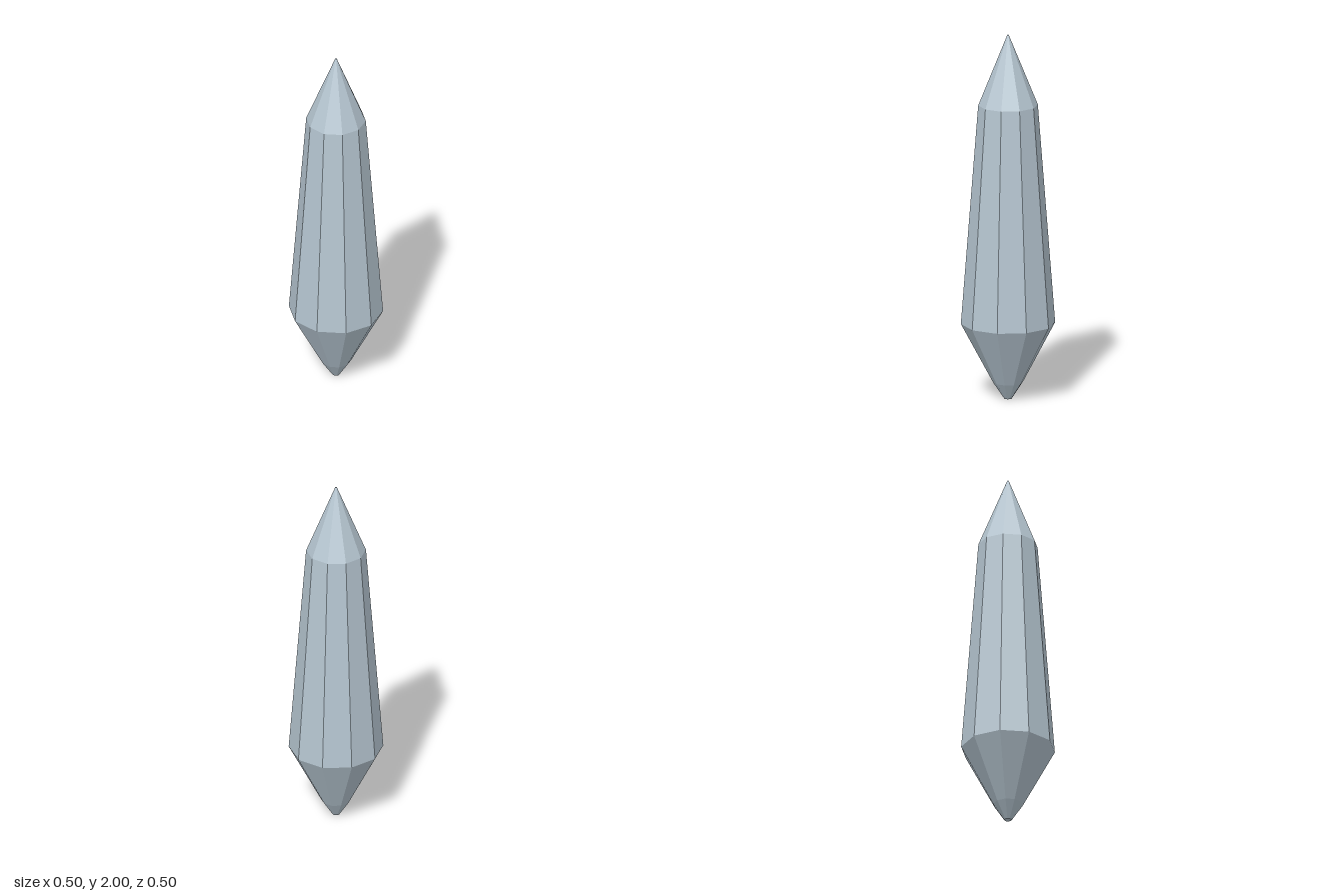
import * as THREE from 'three';

export function createModel() {
  const group = new THREE.Group();
  group.name = 'crystal';

  const paleBlue = new THREE.MeshStandardMaterial({ color: 0xb5c5d0, flatShading: true });
  paleBlue.name = 'paleBlueCrystal';

  const sides = 10;
  const turn = THREE.MathUtils.degToRad(10.7);

  // Each part is a ten-sided lathe of [radius, height] points, bottom to top
  const addPart = (name, profile) => {
    const points = profile.map(([r, y]) => new THREE.Vector2(r, y));
    const mesh = new THREE.Mesh(new THREE.LatheGeometry(points, sides, turn), paleBlue);
    mesh.name = name;
    group.add(mesh);
  };

  // Blunt root, flaring up to the widest ring
  addPart('root', [[0, 0], [0.02, 0], [0.08, 0.09], [0.253, 0.415]]);
  // Long tapering shaft
  addPart('shaft', [[0.253, 0.415], [0.16, 1.615]]);
  // Pointed tip with a tiny flat end
  addPart('tip', [[0.16, 1.615], [0.004, 2], [0, 2]]);

  return group;
}
